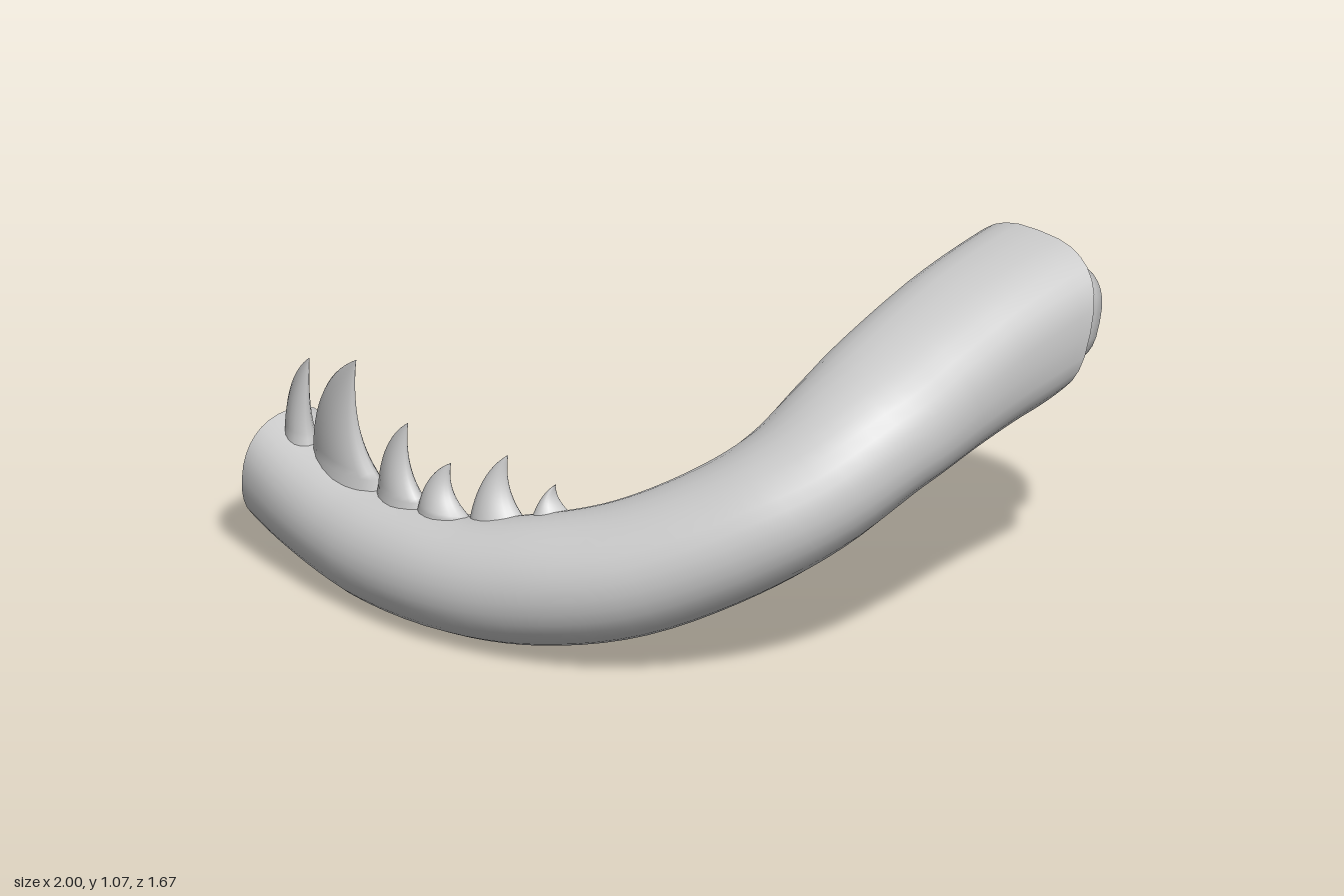
import * as THREE from 'three';

const V = (x, y, z) => new THREE.Vector3(x, y, z);
const UP = V(0, 1, 0);
const material = new THREE.MeshStandardMaterial({ color: 0xcccccc });

// Closed rounded outline around a centre, spanned by two axes; n > 2 makes it squarer
function ring(center, A, B, a, b, n = 2, sides = 32) {
  const bend = (v) => Math.sign(v) * Math.pow(Math.abs(v), 2 / n);
  return Array.from({ length: sides }, (_, i) => {
    const t = (i / sides) * Math.PI * 2;
    return center.clone().addScaledVector(A, a * bend(Math.cos(t))).addScaledVector(B, b * bend(Math.sin(t)));
  });
}

// Outline square to a direction, kept level sideways
function ringAlong(center, dir, a, b, n) {
  const T = dir.clone().normalize();
  const S = UP.clone().cross(T).normalize();
  return ring(center, S, T.clone().cross(S), a, b, n);
}

// Smooth skin over a row of outlines
function skin(name, rings) {
  const m = rings[0].length, index = [];
  for (let i = 0; i < rings.length - 1; i++)
    for (let j = 0; j < m; j++) {
      const k = (j + 1) % m, p = i * m, q = p + m;
      index.push(p + j, p + k, q + k, p + j, q + k, q + j);
    }
  const geo = new THREE.BufferGeometry().setFromPoints(rings.flat());
  geo.setIndex(index);
  geo.computeVertexNormals();
  const mesh = new THREE.Mesh(geo, material);
  mesh.name = name;
  return mesh;
}

// Jaw sections: centre x, y, z, half width, half height, squareness
const SECTIONS = [
  [-0.985, 0.24, 0.54, 0.165, 0.165, 2.3],
  [-0.77, 0.197, 0.605, 0.158, 0.16, 2.1],
  [-0.54, 0.17, 0.655, 0.158, 0.162, 2],
  [-0.19, 0.18, 0.668, 0.168, 0.168, 2],
  [0.055, 0.22, 0.61, 0.188, 0.185, 2],
  [0.3, 0.295, 0.5, 0.212, 0.192, 2],
  [0.53, 0.43, 0.335, 0.23, 0.193, 2],
  [0.655, 0.545, 0.195, 0.24, 0.195, 2],
  [0.73, 0.685, 0, 0.25, 0.2, 2.1],
  [0.738, 0.755, -0.2, 0.25, 0.207, 2.3],
  [0.738, 0.805, -0.4, 0.25, 0.214, 2.5],
  [0.742, 0.852, -0.635, 0.254, 0.228, 2.7],
];
const START = V(0.99, -0.06, 0.09).normalize();
const END = V(0, -0.28, -0.96).normalize();

function jawRings() {
  const path = new THREE.CatmullRomCurve3(SECTIONS.map((s) => V(s[0], s[1], s[2])));
  const size = new THREE.CatmullRomCurve3(SECTIONS.map((s) => V(s[3], s[4], s[5])));
  const spans = SECTIONS.length - 1, steps = spans * 5;
  return Array.from({ length: steps + 1 }, (_, i) => {
    const u = i / steps, r = size.getPoint(u), T = path.getTangent(u);
    // the end cuts are slanted, so turn the outlines toward them
    T.lerp(START, Math.max(0, 1 - u * spans));
    T.lerp(END, Math.max(0, 1 - (1 - u) * spans));
    return ringAlong(path.getPoint(u), T, r.x, r.y, r.z);
  });
}

// Open socket in the front end, from its floor out to the rim
function socket() {
  const [x, y, z, a, b, n] = SECTIONS[0];
  const rows = [[0.2, 0.001], [0.195, 0.5], [0.17, 0.72], [0.1, 0.82], [0.03, 0.86], [0.005, 0.9], [-0.004, 0.95], [0, 1]];
  const dir = V(0.96, -0.15, 0.23);
  return skin('socket', rows.map(([d, s]) =>
    ringAlong(V(x, y, z).addScaledVector(dir, d), START, a * s, b * s, n)));
}

// Shoulder and tapered peg on the back end
function peg() {
  const [x, y, z, a, b, n] = SECTIONS[SECTIONS.length - 1];
  const base = V(x, y, z);
  const at = (d, w, h, sq) => ringAlong(base.clone().addScaledVector(END, d), END, w, h, sq);
  const shoulder = skin('shoulder', [
    at(0, a, b, n), at(0.012, a - 0.012, b - 0.012, n), at(0.012, 0.22, 0.2, n), at(0, 0.182, 0.18, n),
  ]);
  const plug = skin('peg', [
    at(-0.02, 0.183, 0.182, 2.8), at(0.05, 0.178, 0.17, 2.8), at(0.11, 0.169, 0.155, 2.8),
    at(0.145, 0.16, 0.143, 2.7), at(0.165, 0.14, 0.125, 2.6), at(0.176, 0.1, 0.09, 2.4),
    at(0.18, 0.05, 0.045, 2.2), at(0.181, 0.001, 0.001, 2),
  ]);
  return [shoulder, plug];
}

// Hooked tooth: bulging front edge, hollow back edge, thin across the jaw
function tooth({ l, r, base, tip, z, lean, slope, w }) {
  const h = tip[1] - base;
  const P = (x, y) => new THREE.Vector2(x, y);
  const front = new THREE.QuadraticBezierCurve(P(l, base), P(l + 0.1 * (tip[0] - l), base + 0.68 * h), P(...tip));
  const back = new THREE.QuadraticBezierCurve(P(r, base), P(tip[0] - 0.1 * (r - l), base + 0.3 * h), P(...tip));
  const rings = [];
  for (let i = -1; i <= 14; i++) {
    const t = Math.max(0, i / 14);
    const f = front.getPoint(t), b = back.getPoint(t);
    const mid = f.clone().add(b).multiplyScalar(0.5);
    const half = Math.max(0.001, f.distanceTo(b) / 2);
    const sunk = i < 0 ? 0.1 : 0; // root buried in the jaw
    const axis = V(b.x - f.x, b.y - f.y, slope * (b.x - f.x));
    if (axis.length() < 1e-4) axis.set(1, 0, 0);
    axis.normalize();
    const c = V(mid.x, mid.y - sunk, z + lean * t);
    const thick = Math.max(0.001, w * Math.pow(1 - t, 0.8)) + sunk * 0.2;
    rings.push(ring(c, V(0, 0, 1), axis, thick, half + sunk * 0.25, 1.8, 16));
  }
  return skin('tooth', rings);
}

const TEETH = [
  { l: -0.945, r: -0.82, base: 0.385, tip: [-0.83, 0.63], z: 0.59, lean: 0.02, slope: 0.25, w: 0.045 },
  { l: -0.82, r: -0.525, base: 0.36, tip: [-0.61, 0.705], z: 0.625, lean: 0.03, slope: 0.18, w: 0.055 },
  { l: -0.525, r: -0.345, base: 0.35, tip: [-0.412, 0.572], z: 0.655, lean: 0, slope: 0.08, w: 0.045 },
  { l: -0.355, r: -0.185, base: 0.345, tip: [-0.262, 0.49], z: 0.66, lean: -0.02, slope: -0.08, w: 0.045 },
  { l: -0.19, r: 0.005, base: 0.35, tip: [-0.095, 0.547], z: 0.615, lean: -0.03, slope: -0.2, w: 0.05 },
  { l: -0.005, r: 0.17, base: 0.375, tip: [0.045, 0.485], z: 0.56, lean: -0.02, slope: -0.35, w: 0.05 },
];

export function createModel() {
  const model = new THREE.Group();
  model.name = 'halfJaw';
  model.add(skin('jawBone', jawRings()), socket(), ...peg());

  const teeth = new THREE.Group();
  teeth.name = 'teeth';
  TEETH.forEach((t) => teeth.add(tooth(t)));
  model.add(teeth);
  return model;
}
